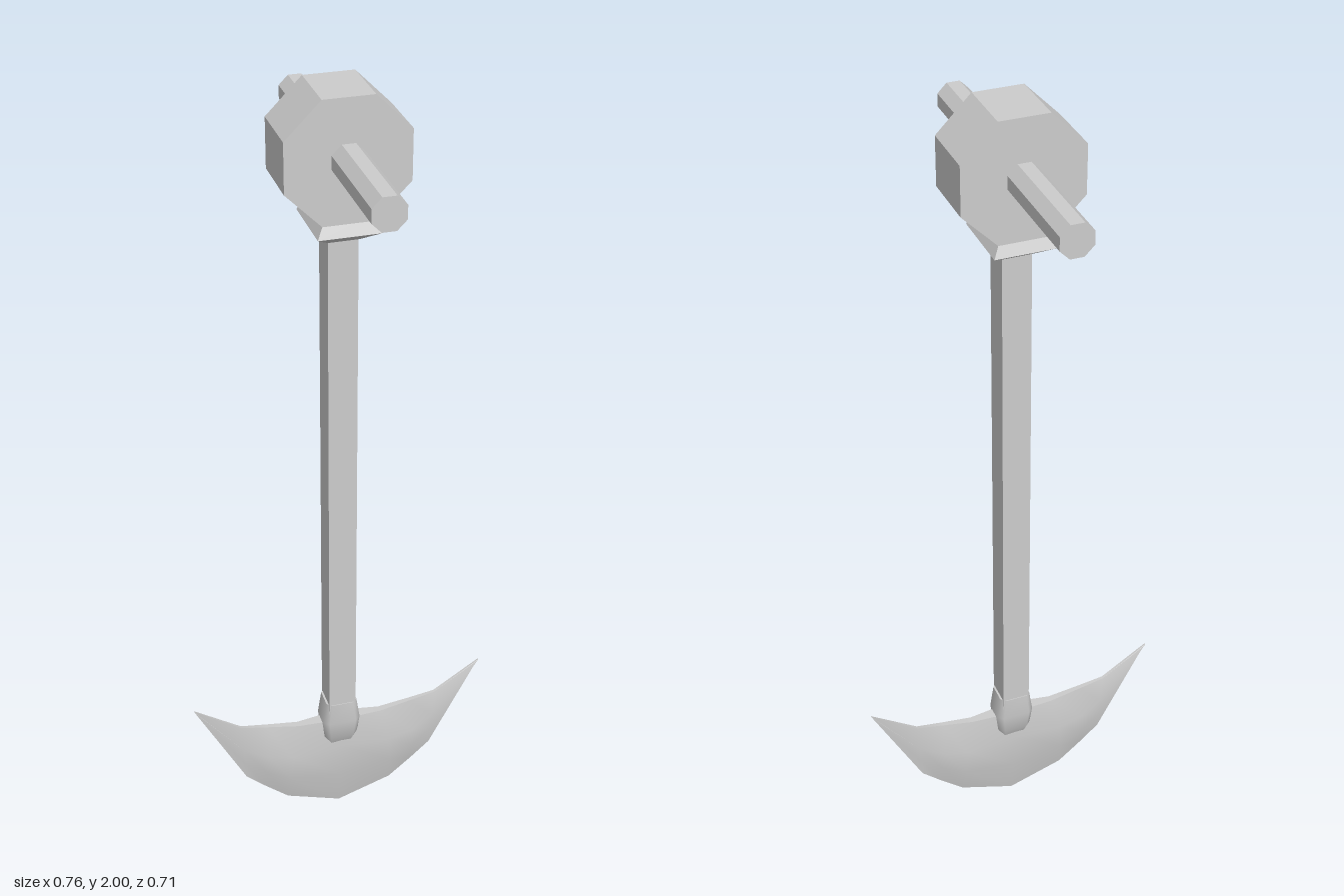
import * as THREE from 'three';
import { toCreasedNormals } from 'three/addons/utils/BufferGeometryUtils.js';

// Skins closed rings of [x, y, z] points, counterclockwise seen from the last ring, with fan caps.
function loft(rings) {
  const n = rings[0].length, index = [], end = (rings.length - 1) * n;
  for (let r = 0; r < rings.length - 1; r++) {
    for (let i = 0; i < n; i++) {
      const a = r * n + i, b = r * n + (i + 1) % n;
      index.push(a, b, b + n, a, b + n, a + n);
    }
  }
  for (let i = 1; i < n - 1; i++) {
    index.push(0, i + 1, i, end, end + i, end + i + 1);
  }
  const geo = new THREE.BufferGeometry();
  geo.setAttribute('position', new THREE.Float32BufferAttribute(rings.flat(2), 3));
  geo.setIndex(index);
  return geo;
}

// Horizontal rectangle with corners cut by c
function rectRing(y, hx, hz, c = 0) {
  if (!c) return [[hx, y, hz], [hx, y, -hz], [-hx, y, -hz], [-hx, y, hz]];
  return [
    [hx, y, hz - c], [hx, y, -hz + c], [hx - c, y, -hz], [-hx + c, y, -hz],
    [-hx, y, -hz + c], [-hx, y, hz - c], [-hx + c, y, hz], [hx - c, y, hz],
  ];
}

// Octagonal prism along z with a flat side on top
function octagonBar(apothem, length) {
  const r = apothem / Math.cos(Math.PI / 8);
  return new THREE.CylinderGeometry(r, r, length, 8)
    .rotateY(Math.PI / 8).rotateX(Math.PI / 2);
}

// Blade section: top edge, thick middle, then a sharp lower edge
function bladeRing([top, mid, low, zTop, zMid], side) {
  const at = (p, z) => [p[0] * side, p[1], z];
  const belly = [(mid[0] + low[0]) / 2, (mid[1] + low[1]) / 2];
  return [
    at(top, zTop), at(mid, zMid), at(belly, zMid * 0.75),
    at(low, 0), at(belly, -zMid * 0.75), at(mid, -zMid), at(top, -zTop),
  ];
}

export function createModel() {
  const model = new THREE.Group();
  const flat = new THREE.MeshStandardMaterial({ color: 0xcccccc, flatShading: true });
  const smooth = new THREE.MeshStandardMaterial({ color: 0xcccccc });
  const add = (name, geo, material, y = 0) => {
    const mesh = new THREE.Mesh(geo, material);
    mesh.name = name;
    mesh.position.y = y;
    model.add(mesh);
  };

  // Octagonal head with the handle bar through it
  add('head', octagonBar(0.142, 0.152), flat, 1.858);
  add('crossbar', octagonBar(0.038, 0.714), flat, 1.86);

  // Flared square collar below the head
  add('collar', loft([
    rectRing(1.66, 0.036, 0.04),
    rectRing(1.69, 0.072, 0.087),
    rectRing(1.73, 0.052, 0.07),
  ]), flat);

  // Square shaft
  add('shaft', new THREE.BoxGeometry(0.07, 1.38, 0.07), flat, 0.98);

  // Rounded socket joining shaft and blade
  add('socket', toCreasedNormals(loft([
    rectRing(0.215, 0.034, 0.018, 0.01),
    rectRing(0.25, 0.044, 0.034, 0.014),
    rectRing(0.30, 0.049, 0.039, 0.014),
    rectRing(0.36, 0.04, 0.037, 0.012),
  ]), 1), smooth);

  // Crescent blade: sections from the centre to one tip, mirrored
  const half = [
    [[0, 0.295], [0, 0.21], [0, 0.003], 0.02, 0.025],
    [[0.11, 0.29], [0.13, 0.2], [0.14, 0.05], 0.009, 0.024],
    [[0.19, 0.303], [0.195, 0.215], [0.2, 0.1], 0.006, 0.021],
    [[0.26, 0.315], [0.255, 0.24], [0.25, 0.145], 0.004, 0.006],
    [[0.38, 0.395], [0.379, 0.393], [0.378, 0.391], 0.002, 0.003],
  ];
  const left = half.map((s) => bladeRing(s, 1));
  const right = half.slice(1).reverse().map((s) => bladeRing(s, -1));
  add('blade', toCreasedNormals(loft([...right, ...left]), 1), smooth);

  return model;
}
